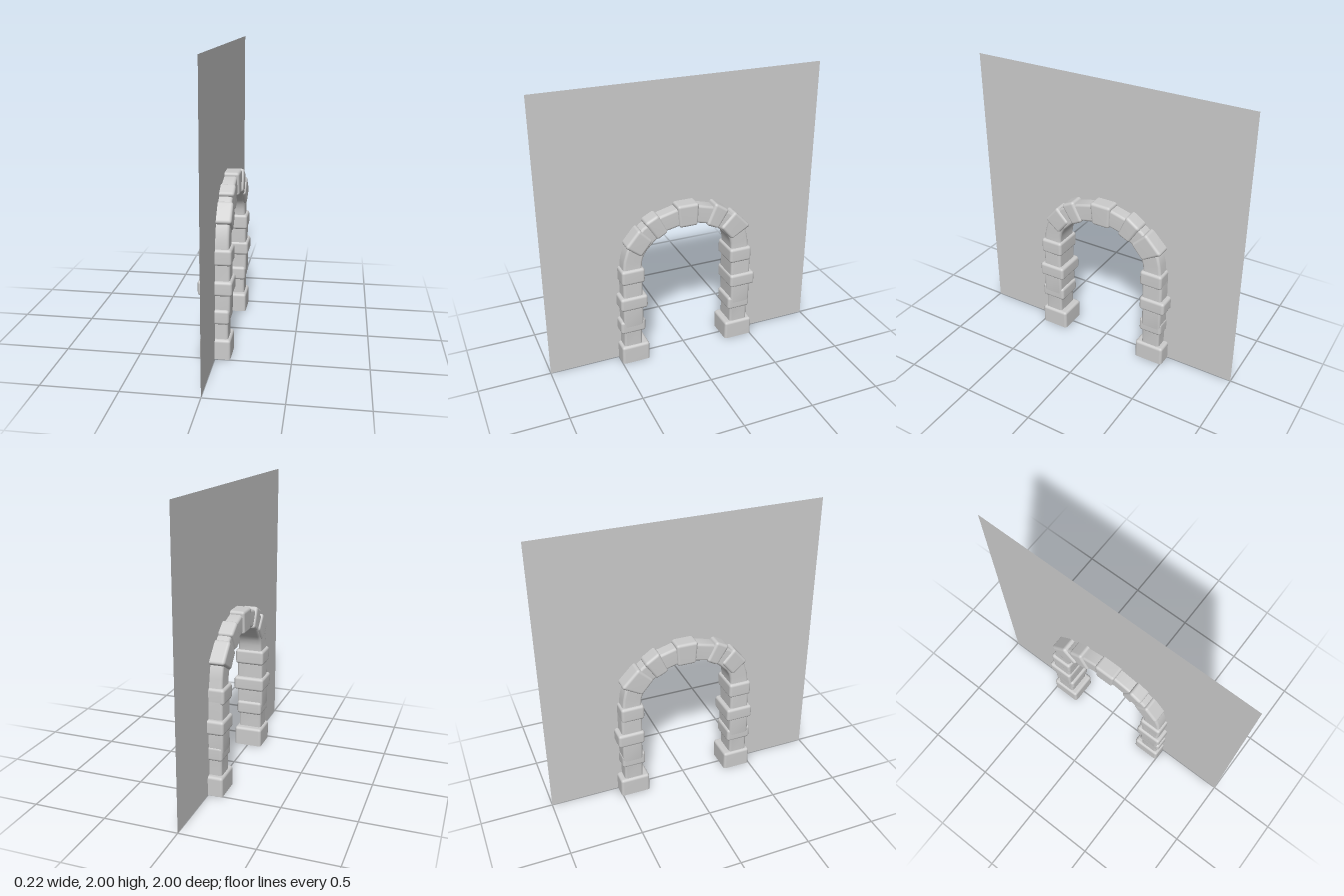
import * as THREE from 'three';
import { mergeVertices } from 'three/addons/utils/BufferGeometryUtils.js';
import { RoundedBoxGeometry } from 'three/addons/geometries/RoundedBoxGeometry.js';

const material = new THREE.MeshStandardMaterial({ color: 0xcccccc, side: THREE.DoubleSide });
const BEVEL = 0.02;
const lerp = THREE.MathUtils.lerp;

// Soft-edged stone filling a quad of [z, y] corners:
// outer start, inner start, inner end, outer end (following the arch from +z to -z)
function stone(name, [os, is, ie, oe], halfWidth) {
  const mid = (a, b) => [(a[0] + b[0]) / 2, (a[1] + b[1]) / 2];
  const dist = (a, b) => Math.hypot(a[0] - b[0], a[1] - b[1]);
  const length = dist(mid(os, is), mid(oe, ie));
  const thick = dist(mid(os, oe), mid(is, ie));
  let geo = new RoundedBoxGeometry(2 * halfWidth, length, thick, 3, BEVEL);
  const p = geo.attributes.position;
  const kept = [];
  for (let i = 0; i < p.count; i += 3) {
    const tri = [];
    for (let k = i; k < i + 3; k++) {
      const v = p.getY(k) / length + 0.5, u = p.getZ(k) / thick + 0.5;
      const at = (c) => lerp(lerp(is[c], ie[c], v), lerp(os[c], oe[c], v), u);
      tri.push(p.getX(k), Math.max(0, at(1)), at(0));
    }
    // the feet are open underneath
    if (Math.max(tri[1], tri[4], tri[7]) > 0.0005) kept.push(...tri);
  }
  geo = new THREE.BufferGeometry();
  geo.setAttribute('position', new THREE.Float32BufferAttribute(kept, 3));
  geo = mergeVertices(geo, 1e-4);
  geo.computeVertexNormals();
  const mesh = new THREE.Mesh(geo, material);
  mesh.name = name;
  return mesh;
}

// Open tube lofted through sections [outer z, outer y, inner z, inner y, half width]
function loft(sections) {
  const pos = [], index = [], n = 16, r = 0.018;
  for (const [oz, oy, iz, iy, hw] of sections) {
    const half = Math.hypot(oz - iz, oy - iy) / 2;
    for (let j = 0; j < n; j++) {
      const corner = Math.floor(j / 4), a = (corner + (j % 4) / 3) * Math.PI / 2;
      const sx = corner === 0 || corner === 3 ? 1 : -1, su = corner < 2 ? 1 : -1;
      const x = sx * (hw - r) + r * Math.cos(a);
      const u = (su * (half - r) + r * Math.sin(a)) / (2 * half) + 0.5;
      pos.push(x, lerp(iy, oy, u), lerp(iz, oz, u));
    }
  }
  for (let i = 0; i < sections.length - 1; i++) {
    for (let j = 0; j < n; j++) {
      const a = i * n + j, b = i * n + (j + 1) % n;
      index.push(a, a + n, b, b, a + n, b + n);
    }
  }
  const geo = new THREE.BufferGeometry();
  geo.setAttribute('position', new THREE.Float32BufferAttribute(pos, 3));
  geo.setIndex(index);
  geo.computeVertexNormals();
  return geo;
}

export function createModel() {
  const group = new THREE.Group();

  // Narrow courses, up the +z leg, over the crown and down the -z leg
  const core = [
    [0.48, 0.1, 0.345, 0.1, 0.085], [0.475, 0.27, 0.345, 0.27, 0.085],
    [0.48, 0.31, 0.335, 0.31, 0.098], [0.48, 0.46, 0.335, 0.46, 0.098],
    [0.475, 0.5, 0.335, 0.5, 0.095], [0.475, 0.66, 0.335, 0.66, 0.095],
    [0.47, 0.74, 0.335, 0.74, 0.088], [0.462, 0.81, 0.33, 0.79, 0.088],
    [0.44, 0.88, 0.318, 0.83, 0.088], [0.41, 0.94, 0.295, 0.865, 0.088],
    [0.32, 1.035, 0.235, 0.925, 0.088], [0.19, 1.1, 0.15, 0.98, 0.086],
    [0.07, 1.13, 0.055, 1.0, 0.086], [-0.08, 1.13, -0.065, 1.0, 0.086],
    [-0.19, 1.1, -0.14, 0.98, 0.086], [-0.32, 1.035, -0.235, 0.925, 0.088],
    [-0.41, 0.94, -0.295, 0.865, 0.088], [-0.445, 0.88, -0.318, 0.83, 0.088],
    [-0.462, 0.81, -0.33, 0.79, 0.088], [-0.47, 0.74, -0.335, 0.74, 0.088],
    [-0.485, 0.66, -0.335, 0.66, 0.095], [-0.485, 0.5, -0.335, 0.5, 0.095],
    [-0.485, 0.46, -0.34, 0.46, 0.098], [-0.485, 0.31, -0.34, 0.31, 0.098],
    [-0.475, 0.27, -0.34, 0.27, 0.085], [-0.475, 0.1, -0.34, 0.1, 0.085],
  ];
  const narrow = new THREE.Mesh(loft(core), material);
  narrow.name = 'narrowCourses';
  group.add(narrow);

  // Wide leg stones: name, bottom, top, half width, front outer/inner z, back outer/inner z
  const courses = [
    ['Foot', -BEVEL, 0.135, 0.102, 0.5, 0.297, 0.51, 0.297],
    ['LowerStone', 0.24, 0.34, 0.093, 0.5, 0.32, 0.49, 0.32],
    ['MiddleStone', 0.435, 0.535, 0.112, 0.5, 0.305, 0.515, 0.325],
    ['UpperStone', 0.635, 0.745, 0.106, 0.485, 0.32, 0.485, 0.32],
  ];
  for (const [name, y0, y1, hw, fo, fi, bo, bi] of courses) {
    group.add(stone('front' + name, [[fo, y0], [fi, y0], [fi, y1], [fo, y1]], hw));
    group.add(stone('back' + name, [[-bo, y1], [-bi, y1], [-bi, y0], [-bo, y0]], hw));
  }

  // Wedge stones over the curve
  const wedges = [
    ['frontHaunchStone', [[0.45, 0.915], [0.34, 0.828], [0.255, 0.935], [0.35, 1.035]], 0.1],
    ['frontCrownStone', [[0.31, 1.067], [0.222, 0.932], [0.143, 0.977], [0.215, 1.118]], 0.098],
    ['keystone', [[0.078, 1.153], [0.062, 0.99], [-0.072, 0.99], [-0.082, 1.153]], 0.1],
    ['backCrownStone', [[-0.205, 1.128], [-0.138, 0.972], [-0.225, 0.932], [-0.308, 1.058]], 0.1],
    ['backHaunchStone', [[-0.352, 1.038], [-0.245, 0.93], [-0.33, 0.828], [-0.475, 0.91]], 0.103],
  ];
  for (const [name, quad, hw] of wedges) group.add(stone(name, quad, hw));

  // Thin wall with its opening hidden inside the arch
  const outline = [[-1, 0], [-1, 2], [1, 2], [1, 0], [0.41, 0],
    ...core.map(([oz, oy, iz, iy]) => [(oz + iz) / 2, (oy + iy) / 2]), [-0.41, 0]];
  const shape = new THREE.Shape(outline.map(([z, y]) => new THREE.Vector2(z, y)));
  const wall = new THREE.Mesh(new THREE.ShapeGeometry(shape).rotateY(-Math.PI / 2), material);
  wall.name = 'wall';
  group.add(wall);

  return group;
}
